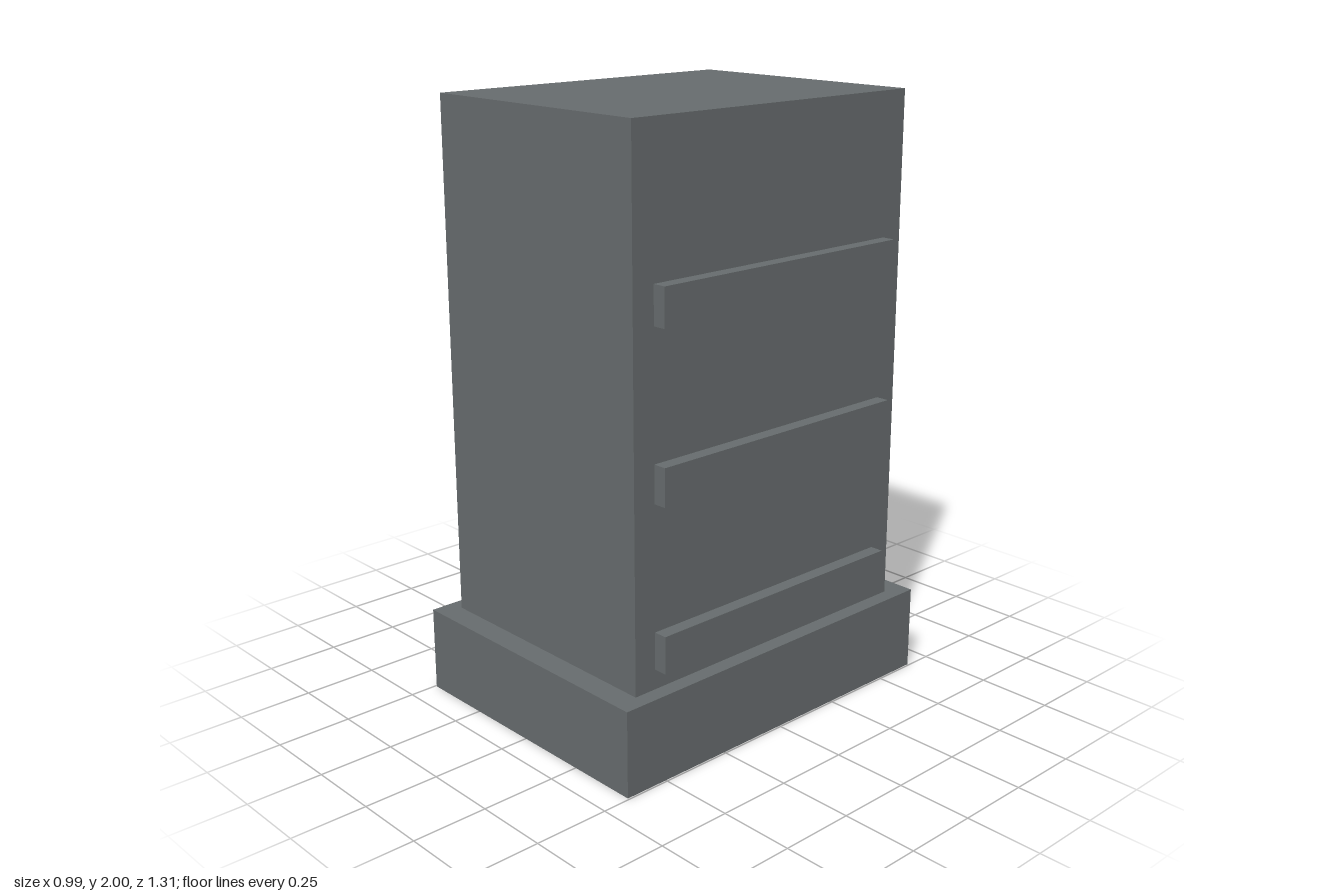
import * as THREE from 'three';

export function createModel() {
  const model = new THREE.Group();
  const grey = new THREE.MeshStandardMaterial({ color: 0x676c6e });
  grey.name = 'slate grey';

  // Box centred on z = 0, given its x centre, bottom and top heights
  const addBox = (name, width, depth, x, bottom, top) => {
    const mesh = new THREE.Mesh(new THREE.BoxGeometry(width, top - bottom, depth), grey);
    mesh.name = name;
    mesh.position.set(x, (bottom + top) / 2, 0);
    model.add(mesh);
  };

  // Plinth and tall cabinet body
  addBox('base', 0.988, 1.308, 0, 0, 0.285);
  addBox('body', 0.884, 1.148, 0, 0.285, 2);

  // Three horizontal ribs on each side
  for (const [side, label] of [[1, 'left'], [-1, 'right']]) {
    [0.35, 0.88, 1.413].forEach((y, i) => {
      addBox(`${label}Rib${i + 1}`, 0.046, 0.99, side * 0.464, y, y + 0.122);
    });
  }
  return model;
}
